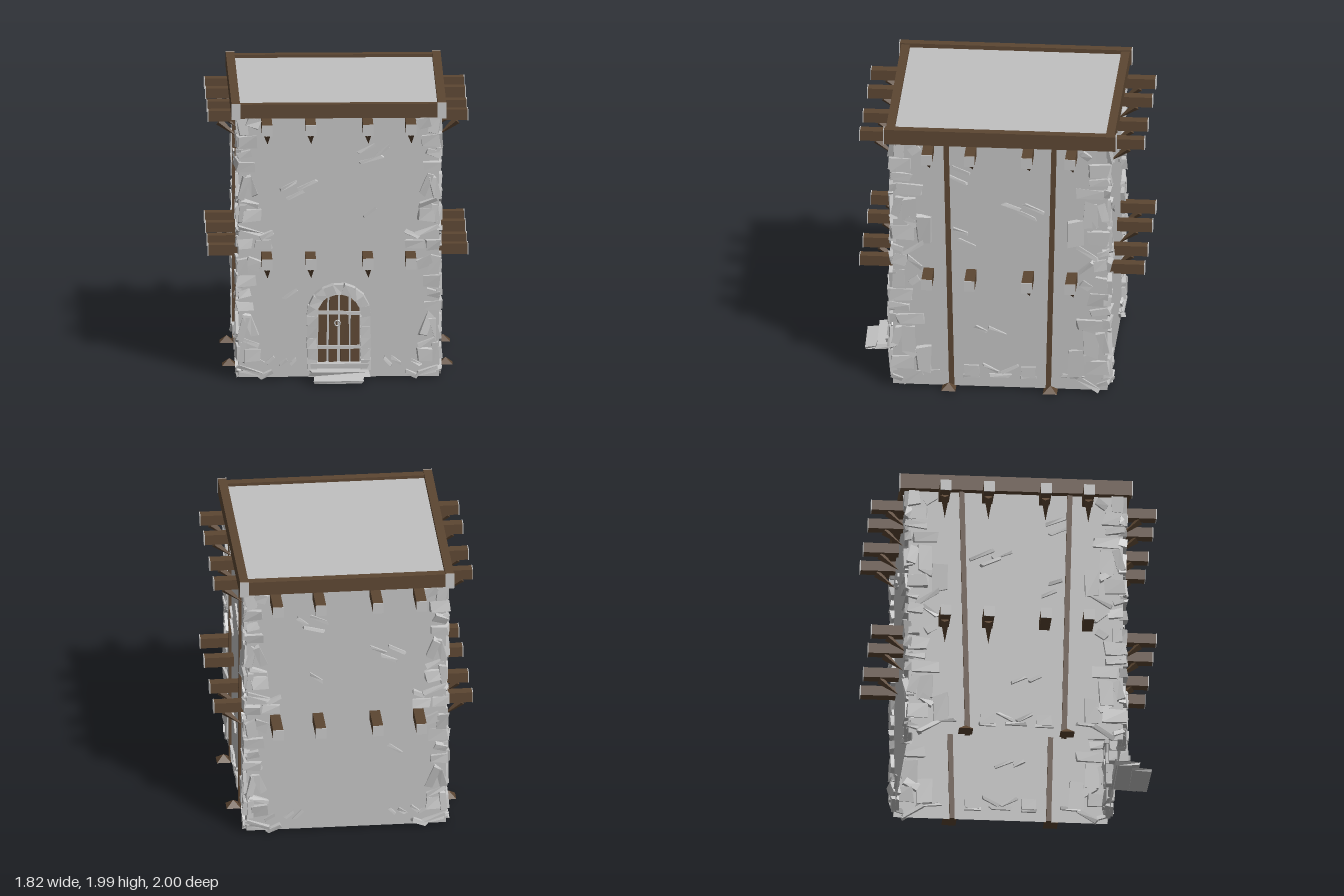
import * as THREE from 'three';

const mat = (name, color, side = THREE.FrontSide) => {
  const m = new THREE.MeshStandardMaterial({ color, side, flatShading: true });
  m.name = name;
  return m;
};
const D = Math.PI / 180, WX = 0.7, WZ = 0.75, TOP = 1.86;

export function createModel() {
  const plaster = mat('plaster', 0xc0c0c0, THREE.DoubleSide);
  const stone = mat('stone', 0xc4c4c4);
  const wood = mat('wood', 0x5c4632);
  const model = new THREE.Group();
  model.name = 'tower';

  let seed = 7;
  const rnd = () => {
    seed = (seed * 16807) % 2147483647;
    return seed / 2147483647 - 0.5;
  };
  const group = (name) => {
    const g = new THREE.Group();
    g.name = name;
    model.add(g);
    return g;
  };
  const add = (parent, name, geo, material, x, y, z, rx = 0, ry = 0, rz = 0) => {
    const m = new THREE.Mesh(geo, material);
    m.name = name;
    m.position.set(x, y, z);
    m.rotation.set(rx, ry, rz);
    parent.add(m);
    return m;
  };
  const box = (parent, name, material, w, h, d, ...place) =>
    add(parent, name, new THREE.BoxGeometry(w, h, d), material, ...place);

  // Box whose eight corners are moved a little, as for hewn stone
  const hewn = (w, h, d, rough) => {
    const geo = new THREE.BoxGeometry(w, h, d).toNonIndexed();
    const shift = Array.from({ length: 8 }, () => [rnd() * w * rough, rnd() * h * rough, rnd() * d * rough]);
    const p = geo.attributes.position;
    for (let i = 0; i < p.count; i++) {
      const s = shift[(p.getX(i) > 0) + 2 * (p.getY(i) > 0) + 4 * (p.getZ(i) > 0)];
      p.setXYZ(i, p.getX(i) + s[0], p.getY(i) + s[1], p.getZ(i) + s[2]);
    }
    geo.computeVertexNormals();
    return geo;
  };

  // Hollow body, open at the bottom
  const bodyGeo = new THREE.BoxGeometry(WX * 2, TOP, WZ * 2);
  const idx = Array.from(bodyGeo.index.array);
  idx.splice(18, 6);
  bodyGeo.setIndex(idx);
  bodyGeo.clearGroups();
  add(model, 'walls', bodyGeo, plaster, 0, TOP / 2, 0);

  // Roof deck and its timber frame with pale cut ends
  const roof = group('roof');
  box(roof, 'deck', plaster, 1.4, 0.05, 1.48, 0, 1.915, 0);
  for (const s of [-1, 1]) {
    box(roof, 'sideBeam', wood, 0.06, 0.11, 1.62, s * 0.72, 1.915, 0);
    box(roof, 'crossBeam', wood, 1.38, 0.1, 0.06, 0, 1.912, s * 0.77);
    for (const t of [-1, 1]) box(roof, 'cutEnd', stone, 0.062, 0.113, 0.006, s * 0.72, 1.915, t * 0.813);
  }

  // Joists sticking out of all four walls, each on a tapered brace
  const joists = group('joists');
  const joist = (y, along, wall, reach, turn, braced) => {
    const g = new THREE.Group();
    g.name = 'joist';
    g.rotation.y = turn;
    const len = reach - wall + 0.01;
    box(g, 'beam', wood, 0.072, 0.074, len, along, y, reach - len / 2 - 0.005);
    box(g, 'cutEnd', stone, 0.076, 0.078, 0.006, along, y, reach - 0.003);
    if (braced) {
      const from = new THREE.Vector3(along, y - 0.045, wall + 0.13);
      const to = new THREE.Vector3(along + 0.008, y - 0.155, wall);
      const dir = to.clone().sub(from);
      const m = add(g, 'brace', new THREE.ConeGeometry(0.03, dir.length(), 4), wood, 0, 0, 0);
      m.position.copy(from).addScaledVector(dir, 0.5);
      m.quaternion.setFromUnitVectors(new THREE.Vector3(0, 1, 0), dir.normalize());
    }
    joists.add(g);
  };
  for (const y of [0.86, 1.82]) {
    for (const a of [-0.505, -0.2, 0.2, 0.5]) {
      const braced = y > 1 || a !== 0.5;
      joist(y, a, WZ, 1, 0, braced);
      joist(y, -a, WZ, 1, Math.PI, braced);
      joist(y, -a, WX, 0.91, Math.PI / 2, y > 1 || a < 0);
      joist(y, a, WX, 0.91, -Math.PI / 2, y > 1 || a < 0);
    }
  }

  // Leaning posts on the side walls, with wedge feet
  const posts = group('posts');
  for (const sx of [-1, 1]) for (const sz of [-1, 1]) {
    box(posts, 'post', wood, 0.036, TOP, 0.036, sx * WX, TOP / 2, sz * 0.358, sz * Math.atan(0.04 / TOP));
    add(posts, 'postFoot', new THREE.ConeGeometry(0.07, 0.045, 4), wood, sx * 0.755, 0.0225, sz * 0.355, 0, Math.PI / 4);
  }

  // Corner stones: [distance from middle, y, width, height, angle], repeated 1 unit lower
  const frontStones = [
    [0.65, 1.69, 0.13, 0.08, 0], [0.6, 1.82, 0.1, 0.07, 20], [0.67, 1.8, 0.07, 0.12, -10],
    [0.66, 1.6, 0.09, 0.05, -15], [0.65, 1.51, 0.12, 0.06, 0], [0.61, 1.37, 0.05, 0.16, -22],
    [0.67, 1.35, 0.05, 0.16, 15], [0.62, 1.25, 0.13, 0.03, 20], [0.61, 1.16, 0.12, 0.085, 0],
    [0.675, 1.17, 0.045, 0.14, 5], [0.62, 1.05, 0.17, 0.025, 18], [0.51, 1.02, 0.1, 0.03, -25],
    [0.53, 0.95, 0.12, 0.06, 0], [0.655, 0.95, 0.1, 0.07, 0],
  ];
  const sideStones = [
    [0.69, 1.69, 0.15, 0.09, 0], [0.71, 1.81, 0.08, 0.12, 0], [0.6, 1.8, 0.08, 0.05, -35],
    [0.7, 1.6, 0.14, 0.05, 8], [0.63, 1.505, 0.18, 0.075, 0], [0.635, 1.35, 0.1, 0.18, 0],
    [0.72, 1.37, 0.06, 0.14, 15], [0.53, 1.2, 0.1, 0.19, 0], [0.69, 1.17, 0.15, 0.1, 0],
    [0.62, 1.25, 0.1, 0.06, 35], [0.61, 1.05, 0.17, 0.03, -33], [0.72, 1.05, 0.08, 0.03, 20],
    [0.6, 0.94, 0.13, 0.03, 40], [0.7, 0.96, 0.1, 0.07, 10],
  ];
  const corners = group('cornerStones');
  for (const sx of [-1, 1]) for (const sz of [-1, 1]) for (const drop of [0, 1]) {
    for (const [x, y, w, h, a] of frontStones) {
      if (y - drop < 0) continue;
      add(corners, 'cornerStone', hewn(w, h, 0.055, 0.22), stone,
        sx * x, y - drop, sz * WZ, rnd() * 0.35, rnd() * 0.35, sx * a * D);
    }
    for (const [z, y, w, h, a] of sideStones) {
      if (y - drop < 0) continue;
      add(corners, 'cornerStone', hewn(0.038, h, w, 0.22), stone,
        sx * WX, y - drop, sz * z, -sz * a * D, rnd() * 0.15, rnd() * 0.15);
    }
  }

  // Loose slivers of brick: [position, y, length, angle]
  const frontSlivers = [
    [-0.35, 1.37, 0.12, 28], [-0.22, 1.375, 0.13, 25], [-0.3, 1.305, 0.12, 25], [0.19, 1.63, 0.13, 25],
    [0.31, 1.62, 0.11, 38], [0.23, 1.555, 0.16, 15], [0.21, 1.175, 0.11, 35], [-0.34, 0.595, 0.11, 35],
    [-0.48, 0.12, 0.07, 40], [-0.39, 0.105, 0.06, 35], [-0.32, 0.11, 0.06, 45], [-0.54, 0.11, 0.08, -30],
    [0.34, 0.11, 0.08, -45], [0.4, 0.115, 0.08, -35], [0.54, 0.1, 0.08, -30], [-0.61, 0.03, 0.15, -12],
    [0.61, 0.03, 0.15, 12],
  ];
  const sideSlivers = [
    [0.28, 1.66, 0.14, -22], [0.3, 1.585, 0.15, -25], [-0.09, 1.39, 0.15, -20], [-0.24, 1.38, 0.16, -25],
    [-0.18, 1.33, 0.15, -25], [0.28, 1.19, 0.1, -20], [0.23, 1.1, 0.12, -25], [0.13, 0.44, 0.09, -28],
    [0.02, 0.43, 0.13, -24], [0.06, 0.14, 0.12, -28], [-0.07, 0.14, 0.12, 28], [0, 0.09, 0.14, 0],
    [0.2, 0.08, 0.11, 0], [-0.2, 0.08, 0.11, 0], [0.5, 0.1, 0.16, 5], [-0.5, 0.1, 0.16, -5],
  ];
  const slivers = group('brickSlivers');
  for (const s of [-1, 1]) {
    for (const [x, y, l, a] of frontSlivers)
      add(slivers, 'sliver', hewn(l, 0.022, 0.03, 0.25), stone, x, y, s * WZ, 0, 0, a * D);
    for (const [z, y, l, a] of sideSlivers)
      add(slivers, 'sliver', hewn(0.03, 0.022, l, 0.25), stone, s * WX, y, z, a * D);
    for (const z of [-0.2, 0.2])
      add(slivers, 'footStone', hewn(0.04, 0.08, 0.1, 0.1), stone, s * WX, 0.125, z);
  }

  // Door: stone surround, planks, straps, ring and steps
  const door = group('door');
  const archY = 0.45, r = 0.187, n = 9;
  for (let i = 0; i < n; i++) {
    const a = ((i + 0.5) / n) * Math.PI;
    add(door, 'archStone', hewn(0.07, 0.073, 0.13, 0.1), stone, Math.cos(a) * r, archY + Math.sin(a) * r, 0.76, 0, 0, a);
  }
  for (const s of [-1, 1]) for (let i = 0; i < 5; i++)
    add(door, 'jambStone', hewn(0.07, 0.076, 0.13, 0.12), stone, s * r, 0.1 + i * 0.077, 0.76, 0, 0, rnd() * 0.1);
  for (const x of [-0.113, -0.038, 0.038, 0.113]) {
    const top = archY + Math.sqrt(0.155 ** 2 - x * x), h = top - 0.1;
    add(door, 'plank', hewn(0.06, h, 0.025, 0.08), wood, x, 0.1 + h / 2, 0.765, 0, 0, rnd() * 0.06);
  }
  for (const y of [0.22, 0.465]) box(door, 'strap', stone, 0.3, 0.025, 0.015, 0, y, 0.785, 0, 0, rnd() * 0.03);
  add(door, 'ringHandle', new THREE.TorusGeometry(0.02, 0.005, 4, 8), stone, -0.01, 0.39, 0.785);
  add(door, 'sill', hewn(0.4, 0.035, 0.1, 0.08), stone, 0.01, 0.095, 0.79);
  add(door, 'upperStep', hewn(0.42, 0.035, 0.17, 0.1), stone, 0, 0.05, 0.82);
  add(door, 'lowerStep', hewn(0.34, 0.02, 0.13, 0.1), stone, 0, 0.02, 0.925, 0.12);

  return model;
}
